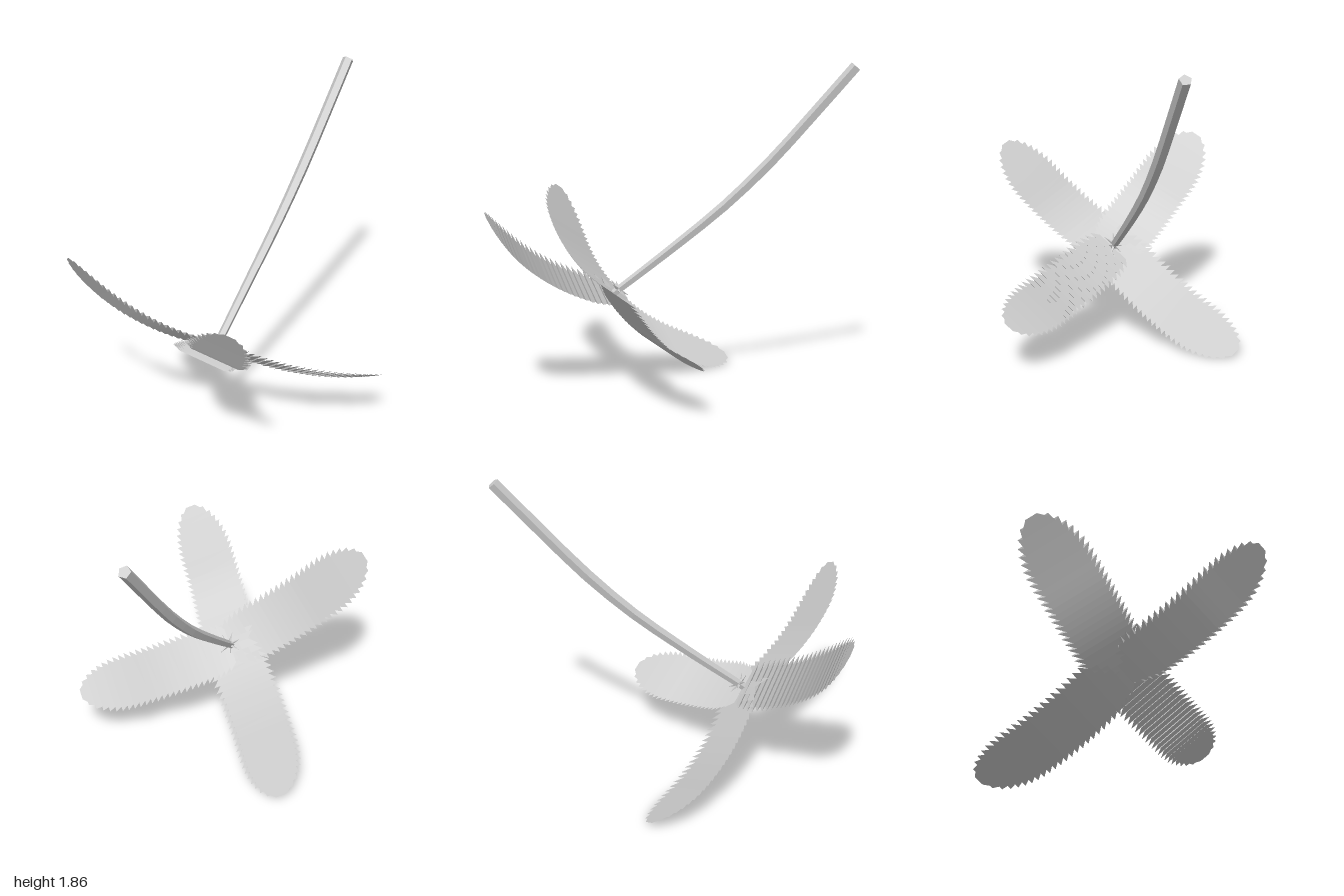
import * as THREE from 'three';

const V = (x, y, z) => new THREE.Vector3(x, y, z);
const HUB = V(-0.38, 0.53, -0.03);
const AXIS = V(0.7, 0.7, -0.03).normalize();

// Joins equally long rows of points into a surface
function loft(rows, closed = false) {
  const n = rows[0].length;
  const pos = rows.flat().flatMap((p) => [p.x, p.y, p.z]);
  const idx = [];
  for (let i = 0; i < rows.length - 1; i++) {
    for (let j = 0; j < (closed ? n : n - 1); j++) {
      const a = i * n + j, b = i * n + (j + 1) % n;
      idx.push(a, b, a + n, b, b + n, a + n);
    }
  }
  const g = new THREE.BufferGeometry();
  g.setAttribute('position', new THREE.Float32BufferAttribute(pos, 3));
  g.setIndex(idx);
  const flat = g.toNonIndexed();
  flat.computeVertexNormals();
  return flat;
}

// Petal of overlapping toothed leaflets, bowed away from the stem
function petalGeometry(tip, sag, width) {
  const chord = tip.clone().sub(HUB);
  const side = AXIS.clone().cross(chord).normalize();
  const up = chord.clone().cross(side).normalize();
  const leaflets = 26;
  const row = (t, spread, lift) => {
    const round = t > 0.68 ? Math.sqrt(Math.max(0.02, 1 - ((t - 0.68) / 0.325) ** 2)) : 1;
    const half = width * spread * round * (0.8 + 0.2 * Math.min(1, t / 0.15));
    const mid = HUB.clone().addScaledVector(chord, t)
      .addScaledVector(up, -4 * sag * t * (1 - t) + lift * Math.min(1, (1 - t) * 2.5));
    return [-1, 1].map((s) => mid.clone().addScaledVector(side, s * half));
  };
  // Each leaflet rises towards the petal tip and covers the start of the next
  const rows = [];
  for (let i = 0; i < leaflets; i++) {
    rows.push(row(i / leaflets, 0.76, -0.008));
    rows.push(row(Math.min(1, (i + 1.3) / leaflets), 1, 0.008));
  }
  return loft(rows);
}

// Tapered five-sided stem with closed ends
function stemGeometry() {
  const curve = new THREE.CatmullRomCurve3([
    V(-0.385, 0.53, -0.03), V(-0.2, 0.675, -0.045), V(0, 0.835, -0.06),
    V(0.25, 1.045, -0.075), V(0.5, 1.29, -0.085), V(0.73, 1.55, -0.09), V(0.975, 1.835, -0.095),
  ]);
  const rows = [];
  const steps = 12, sides = 5;
  const ring = (t, r) => {
    const p = curve.getPoint(t), d = curve.getTangent(t);
    const a = V(0, 0, 1).cross(d).normalize(), b = d.clone().cross(a);
    return Array.from({ length: sides }, (_, j) => {
      const q = (j / sides) * Math.PI * 2;
      return p.clone().addScaledVector(a, Math.cos(q) * r).addScaledVector(b, Math.sin(q) * r);
    });
  };
  rows.push(ring(0, 0));
  for (let i = 0; i <= steps; i++) rows.push(ring(i / steps, 0.023 + 0.011 * Math.min(1, i / 8)));
  rows.push(ring(1, 0));
  return loft(rows, true);
}

export function createModel() {
  const group = new THREE.Group();
  const grey = new THREE.MeshStandardMaterial({ color: 0xcccccc, side: THREE.DoubleSide, flatShading: true });
  grey.name = 'pale grey';
  const add = (geometry, name) => {
    const mesh = new THREE.Mesh(geometry, grey);
    mesh.name = name;
    group.add(mesh);
    return mesh;
  };

  add(stemGeometry(), 'stem');

  // Four petals around the hub
  const petals = [
    ['backUpperPetal', V(-0.86, 1.07, -0.675), 0.085, 0.19],
    ['backLowerPetal', V(0.205, 0.03, -0.635), 0.095, 0.19],
    ['frontLowerPetal', V(0.2, 0.31, 0.69), 0.06, 0.18],
    ['frontUpperPetal', V(-0.975, 1.055, 0.535), 0.095, 0.175],
  ];
  for (const [name, tip, sag, width] of petals) add(petalGeometry(tip, sag, width), name);

  // Small star of sepals where the stem meets the petals
  const a = V(0, 0, 1).cross(AXIS).normalize();
  const b = AXIS.clone().cross(a);
  for (let i = 0; i < 7; i++) {
    const q = (i / 7) * Math.PI * 2;
    const dir = a.clone().multiplyScalar(Math.cos(q)).addScaledVector(b, Math.sin(q))
      .addScaledVector(AXIS, 0.15).normalize();
    const sepal = add(new THREE.ConeGeometry(0.014, 0.08, 4), 'sepal');
    sepal.quaternion.setFromUnitVectors(V(0, 1, 0), dir);
    sepal.position.copy(HUB).addScaledVector(AXIS, 0.03).addScaledVector(dir, 0.035);
  }
  return group;
}
